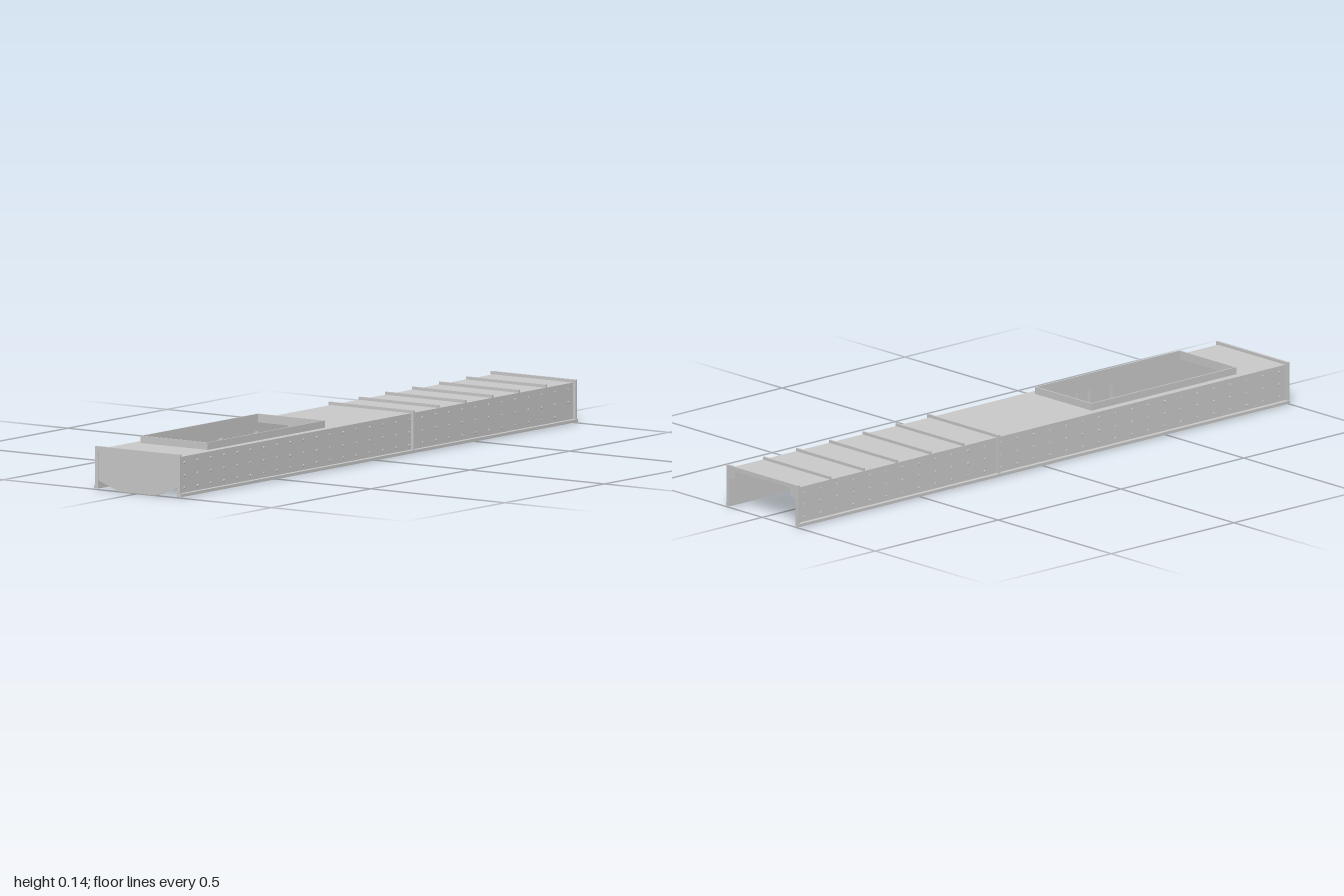
import * as THREE from 'three';

export function createModel() {
  const root = new THREE.Group();
  const mat = new THREE.MeshStandardMaterial({ color: 0xcccccc, flatShading: true, side: THREE.DoubleSide });

  function add(name, geo, parent = root) {
    const m = new THREE.Mesh(geo, mat);
    m.name = name;
    parent.add(m);
    return m;
  }
  // Box given by its minimum and maximum corners
  function box(name, x0, x1, y0, y1, z0, z1, parent = root) {
    const m = add(name, new THREE.BoxGeometry(x1 - x0, y1 - y0, z1 - z0), parent);
    m.position.set((x0 + x1) / 2, (y0 + y1) / 2, (z0 + z1) / 2);
    return m;
  }
  // Cross-section drawn in (z, y), extruded along x and starting at x0
  function section(name, pts, x0, depth, parent = root) {
    const shape = new THREE.Shape(pts.map(([z, y]) => new THREE.Vector2(-z, y)));
    const geo = new THREE.ExtrudeGeometry(shape, { depth, bevelEnabled: false });
    geo.rotateY(Math.PI / 2);
    geo.translate(x0, 0, 0);
    return add(name, geo, parent);
  }

  const wallIn = 0.147, wallOut = 0.149, rib = 0.158;
  const top = 0.122, ribTop = 0.131;
  const hx0 = -0.815, hx1 = -0.225, hz = 0.125;

  // Deck sheet with the rectangular opening
  const deck = new THREE.Shape([[-1, -wallOut], [1, -wallOut], [1, wallOut], [-1, wallOut]]
    .map(p => new THREE.Vector2(...p)));
  deck.holes.push(new THREE.Path([[hx0, -hz], [hx0, hz], [hx1, hz], [hx1, -hz]]
    .map(p => new THREE.Vector2(...p))));
  const deckGeo = new THREE.ExtrudeGeometry(deck, { depth: 0.004, bevelEnabled: false });
  deckGeo.rotateX(Math.PI / 2);
  deckGeo.translate(0, top, 0);
  add('deck', deckGeo);

  // Raised coaming around the opening
  const coaming = new THREE.Group();
  coaming.name = 'coaming';
  root.add(coaming);
  const t = 0.004;
  for (const s of [-1, 1]) {
    const a = s * hz, b = s * (hz - t);
    box('coamingSide', hx0, hx1, 0.118, 0.144, Math.min(a, b), Math.max(a, b), coaming);
  }
  box('coamingEnd', hx0, hx0 + t, 0.118, 0.144, -hz + t, hz - t, coaming);
  box('coamingEnd', hx1 - t, hx1, 0.118, 0.144, -hz + t, hz - t, coaming);

  // Side walls with outer foot flange, inner top rail, rivets and stiffeners
  const stiffeners = {
    '1': [0.54, 0.49, 0.43, 0.38, 0.33, 0.28, 0.16, -0.27, -0.32, -0.37, -0.41, -0.46, -0.55],
    '-1': [0.95, 0.85, 0.67, 0.49, 0.31, 0.14, -0.04, -0.21, -0.39, -0.56, -0.74, -0.92],
  };
  const cols = 30, rows = [0.027, 0.065, 0.104];
  const rivet = new THREE.CylinderGeometry(0.0035, 0.0035, 0.005, 6);
  rivet.rotateX(Math.PI / 2);
  for (const s of [1, -1]) {
    const side = new THREE.Group();
    side.name = s > 0 ? 'frontSide' : 'backSide';
    root.add(side);
    const span = (name, x0, x1, y0, y1, za, zb) =>
      box(name, x0, x1, y0, y1, Math.min(s * za, s * zb), Math.max(s * za, s * zb), side);

    span('wall', -1, 1, 0.003, top, wallIn, wallOut);
    span('footFlange', -1, 1, 0.003, 0.012, wallIn, 0.162);
    span('topRail', -0.995, 1, 0.092, 0.118, 0.123, wallIn);
    span('jointRib', 0.176, 0.184, 0.003, ribTop, wallIn, rib);

    for (const x of stiffeners[s]) {
      section('stiffener', [[s * 0.133, 0], [s * wallIn, 0.01], [s * wallIn, 0.092], [s * 0.133, 0.092]],
        x - 0.002, 0.004, side);
    }
    const rivets = new THREE.InstancedMesh(rivet, mat, 0);
    for (let i = 0; i < cols; i++) {
      for (const y of rows) {
        const m = add('rivet', rivet, side);
        m.position.set(-1 + (i + 0.5) * 2 / cols, y, s * (wallOut + 0.0015));
      }
    }
    rivets.dispose();
  }

  // Cross ribs over the deck
  for (const x of [0.18, 0.318, 0.452, 0.588, 0.722, 0.858]) {
    box('crossRib', x - 0.003, x + 0.003, top - 0.002, ribTop, -wallOut, wallOut);
  }

  // U-shaped frames at both ends
  const frame = [[-rib, 0.005], [-rib, ribTop], [rib, ribTop], [rib, 0.005],
    [wallIn, 0.005], [wallIn, top], [-wallIn, top], [-wallIn, 0.005]];
  section('endFrame', frame, -1, 0.008);
  section('endFrame', frame, 0.992, 0.008);

  // Closing plate with chamfered lower corners
  section('endPlate', [[-wallIn, 0.028], [-0.067, 0], [0.067, 0], [wallIn, 0.028],
    [wallIn, top], [-wallIn, top]], -0.999, 0.004);

  return root;
}
